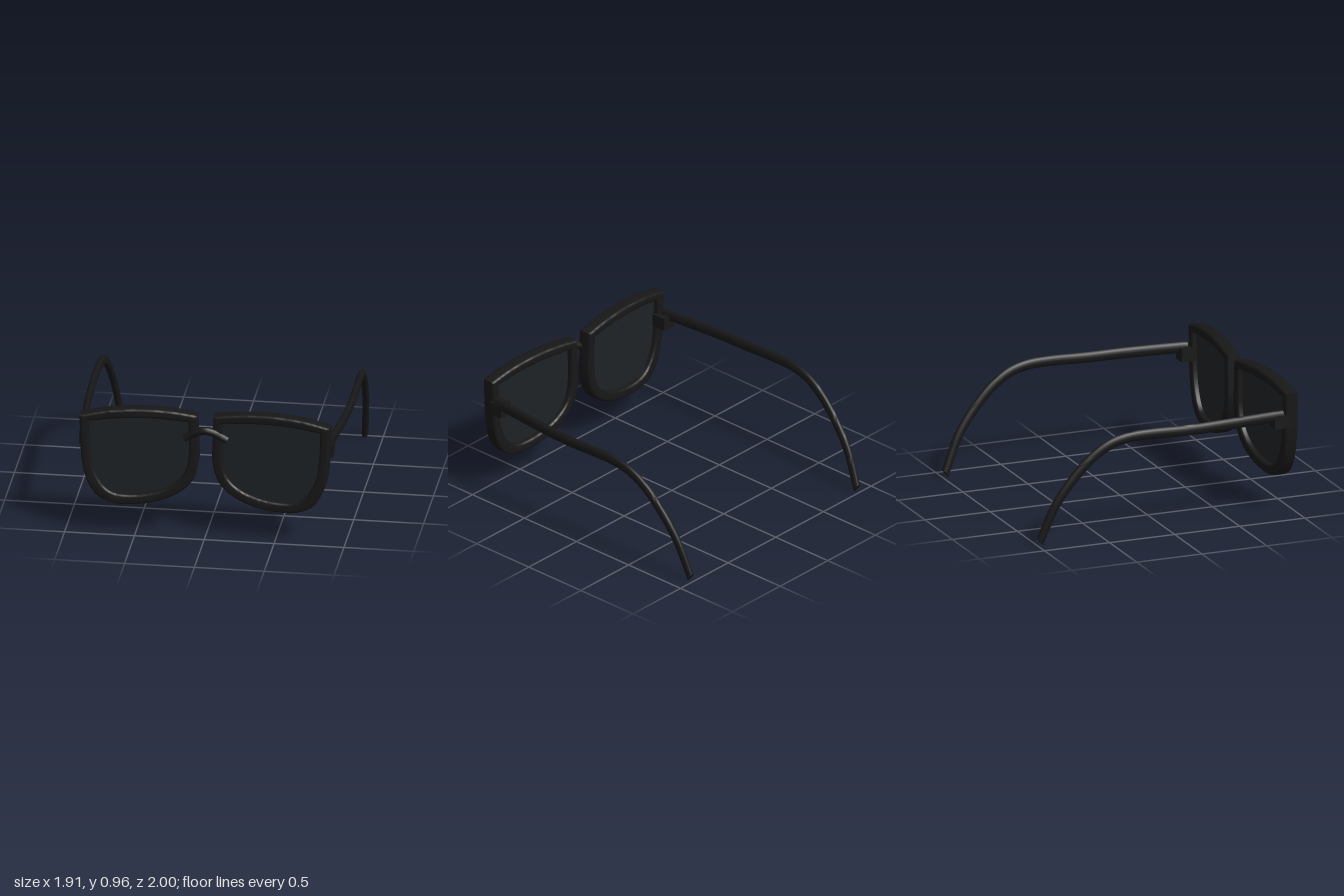
import * as THREE from 'three';
import { toCreasedNormals } from 'three/addons/utils/BufferGeometryUtils.js';

const frameMat = new THREE.MeshStandardMaterial({ color: 0x171717 });
const lensMat = new THREE.MeshStandardMaterial({ color: 0x1e2225 });
const TILT = 0.063;

// Closed lens outline as counterclockwise points: a gently arched top edge, then a smooth U below.
function outline(s, top, lower) {
  const v = ([x, y]) => new THREE.Vector2(s * x, y);
  const path = new THREE.Path();
  path.moveTo(s * top[0][0], top[0][1]);
  path.splineThru(top.slice(1).map(v));
  path.splineThru(lower.map(v));
  const pts = path.getPoints(8);
  return THREE.ShapeUtils.isClockWise(pts) ? pts.reverse() : pts;
}

const outerTop = [[0.06, 0.925], [0.25, 0.953], [0.47, 0.963], [0.7, 0.946], [0.9, 0.905]];
const outerLow = [[0.895, 0.75], [0.885, 0.57], [0.85, 0.41], [0.775, 0.29], [0.65, 0.233], [0.5, 0.23],
  [0.35, 0.256], [0.2, 0.322], [0.095, 0.425], [0.052, 0.57], [0.053, 0.75], [0.06, 0.925]];
const innerTop = [[0.125, 0.873], [0.28, 0.889], [0.46, 0.896], [0.65, 0.886], [0.83, 0.862]];
const innerLow = [[0.828, 0.75], [0.815, 0.58], [0.78, 0.45], [0.715, 0.35], [0.63, 0.306], [0.5, 0.302],
  [0.37, 0.326], [0.25, 0.377], [0.163, 0.46], [0.126, 0.58], [0.122, 0.73], [0.125, 0.873]];

function extrude(shape, depth, bevel) {
  const g = new THREE.ExtrudeGeometry(shape, {
    depth: depth - 2 * bevel, bevelEnabled: bevel > 0,
    bevelSize: bevel, bevelThickness: bevel, bevelOffset: -bevel, bevelSegments: 3,
  });
  g.translate(0, 0, bevel - depth / 2);
  return toCreasedNormals(g, 0.6);
}

// Sweep an ellipse along a curve that mostly runs front to back; half sizes vary with t.
function sweep(curve, size, rings = 64, sides = 16) {
  const pos = [], idx = [];
  const xAxis = new THREE.Vector3(1, 0, 0);
  for (let i = 0; i <= rings; i++) {
    const t = i / rings, p = curve.getPointAt(t), tan = curve.getTangentAt(t);
    const up = new THREE.Vector3().crossVectors(xAxis, tan).normalize();
    const side = new THREE.Vector3().crossVectors(tan, up);
    const [w, h] = size(t);
    // the far end is cut at a slant
    if (i === rings) up.addScaledVector(tan, -0.65);
    for (let j = 0; j < sides; j++) {
      const a = (j / sides) * Math.PI * 2;
      const q = p.clone().addScaledVector(side, w * Math.cos(a)).addScaledVector(up, h * Math.sin(a));
      pos.push(q.x, q.y, q.z);
      if (i < rings) {
        const b = i * sides + j, c = i * sides + (j + 1) % sides;
        idx.push(b, b + sides, c, c, b + sides, c + sides);
      }
    }
  }
  // flat end caps
  for (let j = 1; j < sides - 1; j++) {
    const e = rings * sides;
    idx.push(0, j, j + 1, e, e + j + 1, e + j);
  }
  const g = new THREE.BufferGeometry();
  g.setAttribute('position', new THREE.Float32BufferAttribute(pos, 3));
  g.setIndex(idx);
  return toCreasedNormals(g, 0.9);
}

export function createModel() {
  const model = new THREE.Group();
  model.name = 'sunglasses';
  const add = (parent, name, geo, mat) => {
    const m = new THREE.Mesh(geo, mat);
    m.name = name;
    parent.add(m);
    return m;
  };

  // arched nose bridge, its ends resting on the rims
  const bridge = new THREE.CatmullRomCurve3([
    [-0.152, 0.748, 0.925], [-0.11, 0.773, 0.929], [-0.06, 0.803, 0.938], [0, 0.82, 0.946],
    [0.06, 0.803, 0.938], [0.11, 0.773, 0.929], [0.152, 0.748, 0.925],
  ].map(p => new THREE.Vector3(...p)));
  add(model, 'bridge', new THREE.TubeGeometry(bridge, 32, 0.029, 14), frameMat);

  for (const [s, label] of [[1, 'left'], [-1, 'right']]) {
    // flat bridge end
    const t = s > 0 ? 1 : 0;
    const end = bridge.getPoint(t);
    const cap = add(model, label + 'BridgeEnd', new THREE.CircleGeometry(0.029, 14), frameMat);
    cap.position.copy(end);
    cap.lookAt(end.addScaledVector(bridge.getTangent(t), s));

    // rim and lens, outer end swung forward
    const eye = new THREE.Group();
    eye.name = label + 'Eye';
    eye.rotation.y = -s * TILT;
    eye.position.z = 0.89;
    model.add(eye);
    const inner = outline(s, innerTop, innerLow);
    const rim = new THREE.Shape(outline(s, outerTop, outerLow));
    rim.holes.push(new THREE.Path(inner));
    add(eye, label + 'Rim', extrude(rim, 0.1, 0.016), frameMat);
    // the lens edge sits inside the rim
    const lens = extrude(new THREE.Shape(inner), 0.02, 0);
    lens.translate(-s * 0.475, -0.6, 0).scale(1.04, 1.04, 1).translate(s * 0.475, 0.6, 0);
    add(eye, label + 'Lens', lens, lensMat);

    // hinge block
    const hinge = add(model, label + 'Hinge', new THREE.BoxGeometry(0.105, 0.095, 0.11), frameMat);
    hinge.position.set(s * 0.857, 0.703, 0.865);

    // temple arm, bowed outwards and hooked down behind the ear
    const arm = new THREE.CatmullRomCurve3([
      [0.877, 0.745, 0.88], [0.9, 0.745, 0.65], [0.921, 0.744, 0.4], [0.932, 0.742, 0.12], [0.933, 0.75, -0.14],
      [0.93, 0.744, -0.32], [0.925, 0.708, -0.46], [0.917, 0.62, -0.6], [0.907, 0.475, -0.74],
      [0.894, 0.3, -0.865], [0.872, 0.033, -0.981],
    ].map(([x, y, z]) => new THREE.Vector3(s * x, y, z)));
    add(model, label + 'Temple', sweep(arm, u => [0.024, 0.042 - 0.011 * u * u]), frameMat);
  }
  return model;
}
